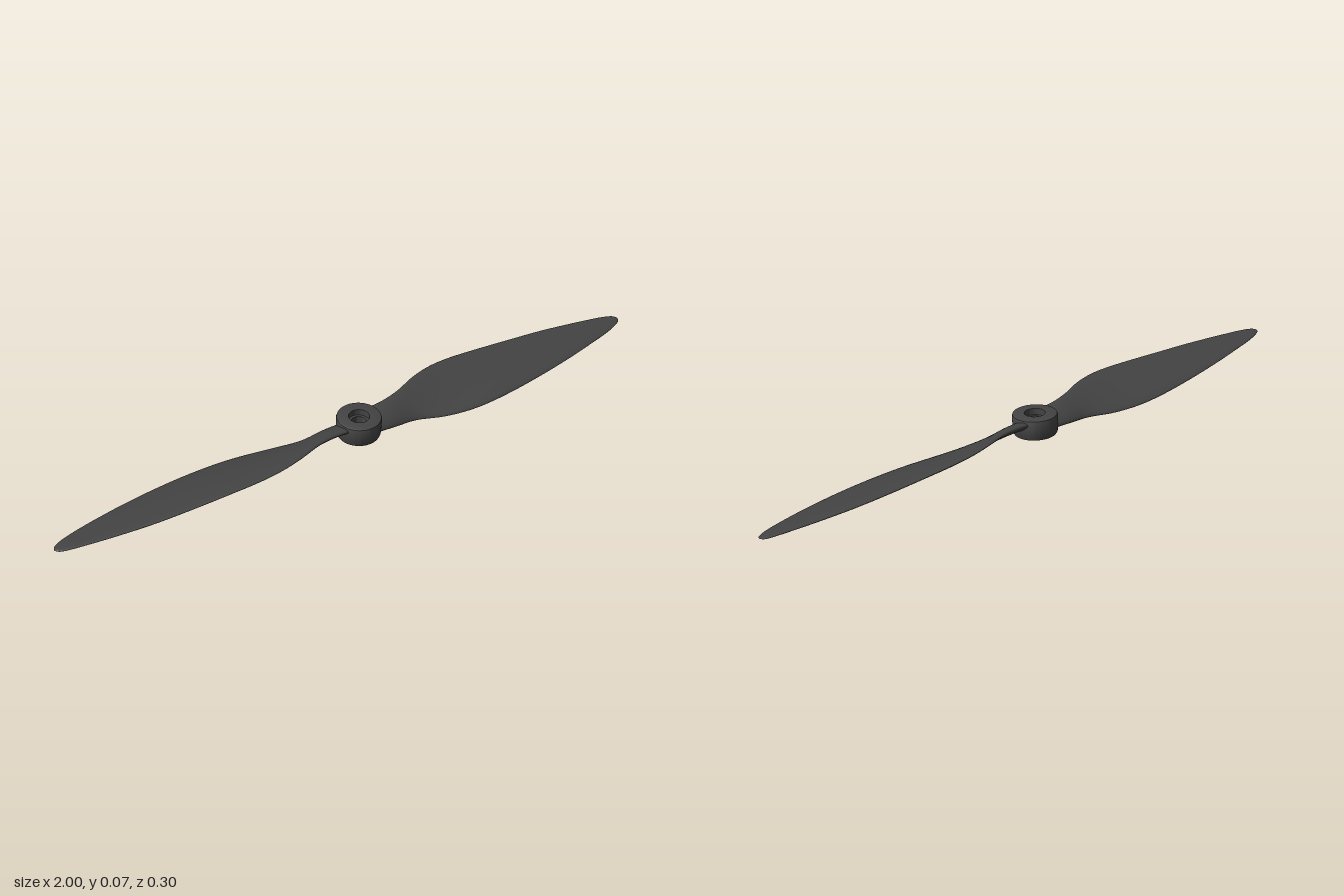
import * as THREE from 'three';
import { toCreasedNormals } from 'three/addons/utils/BufferGeometryUtils.js';

// Blade stations: x, leading edge z, y, trailing edge z, y, thickness
const STATIONS = [
  [0.04, -0.030, 0.016, 0.048, -0.016, 0.030],
  [0.10, -0.022, 0.020, 0.058, -0.019, 0.028],
  [0.17, -0.026, 0.026, 0.067, -0.025, 0.024],
  [0.25, -0.045, 0.031, 0.100, -0.031, 0.021],
  [0.33, -0.054, 0.031, 0.125, -0.031, 0.020],
  [0.41, -0.050, 0.028, 0.140, -0.027, 0.019],
  [0.51, -0.035, 0.023, 0.148, -0.021, 0.018],
  [0.62, -0.016, 0.017, 0.150, -0.015, 0.016],
  [0.73, 0.005, 0.012, 0.147, -0.010, 0.014],
  [0.83, 0.030, 0.008, 0.140, -0.006, 0.011],
  [0.91, 0.053, 0.005, 0.132, -0.004, 0.009],
  [0.96, 0.069, 0.003, 0.123, -0.002, 0.007],
  [0.99, 0.083, 0.001, 0.112, -0.001, 0.005],
  [1.00, 0.098, 0.000, 0.098, 0.000, 0.000],
];

// Lofts a twisted, cambered section along the blade
function bladeGeometry() {
  const curve = (f) => new THREE.CatmullRomCurve3(
    STATIONS.map((s) => new THREE.Vector3(...f(s))), false, 'catmullrom', 0.5);
  const lead = curve((s) => [s[0], s[2], s[1]]);
  const trail = curve((s) => [s[0], s[4], s[3]]);
  const thick = curve((s) => [s[0], s[5], 0]);
  const rings = 65, sides = 28;
  const positions = [], index = [];
  for (let i = 0; i <= rings; i++) {
    const u = i / rings;
    const a = lead.getPoint(u), b = trail.getPoint(u);
    const t = Math.max(0, thick.getPoint(u).y);
    for (let j = 0; j < sides; j++) {
      const angle = (j / sides) * Math.PI * 2;
      const p = a.clone().lerp(b, (1 - Math.cos(angle)) / 2);
      const s = Math.sin(angle);
      p.y += t * s * (s > 0 ? 0.62 : 0.38);
      positions.push(p.x, p.y, p.z);
      if (i < rings) {
        const k = (j + 1) % sides, r = i * sides, n = r + sides;
        index.push(r + j, r + k, n + j, r + k, n + k, n + j);
      }
    }
  }
  // Root cap, buried in the hub
  for (let j = 1; j < sides - 1; j++) index.push(0, j + 1, j);
  const g = new THREE.BufferGeometry();
  g.setAttribute('position', new THREE.Float32BufferAttribute(positions, 3));
  g.setIndex(index);
  g.computeVertexNormals();
  return g;
}

// Ring-shaped hub with softened rims, a through bore and a wider recess on top
function hubGeometry() {
  const profile = [
    [0.023, -0.032], [0.057, -0.032], [0.063, -0.030], [0.066, -0.024],
    [0.068, 0.024], [0.066, 0.030], [0.061, 0.032],
    [0.031, 0.032], [0.031, 0.012], [0.023, 0.012], [0.023, -0.032],
  ].map(([r, y]) => new THREE.Vector2(r, y));
  return toCreasedNormals(new THREE.LatheGeometry(profile, 48), 0.7);
}

export function createModel() {
  const group = new THREE.Group();
  group.name = 'propeller';
  const material = new THREE.MeshStandardMaterial({ color: 0x444444 });

  // The whole propeller sits at a slight tilt
  const rotor = new THREE.Group();
  rotor.name = 'rotor';
  rotor.position.y = 0.0445;
  rotor.rotation.set(0.044, 0, -0.005);
  group.add(rotor);

  const hub = new THREE.Mesh(hubGeometry(), material);
  hub.name = 'hub';
  rotor.add(hub);

  // Two identical blades, half a turn apart
  const blade = bladeGeometry();
  ['leftBlade', 'rightBlade'].forEach((name, i) => {
    const mesh = new THREE.Mesh(blade, material);
    mesh.name = name;
    mesh.rotation.y = i * Math.PI;
    rotor.add(mesh);
  });
  return group;
}
